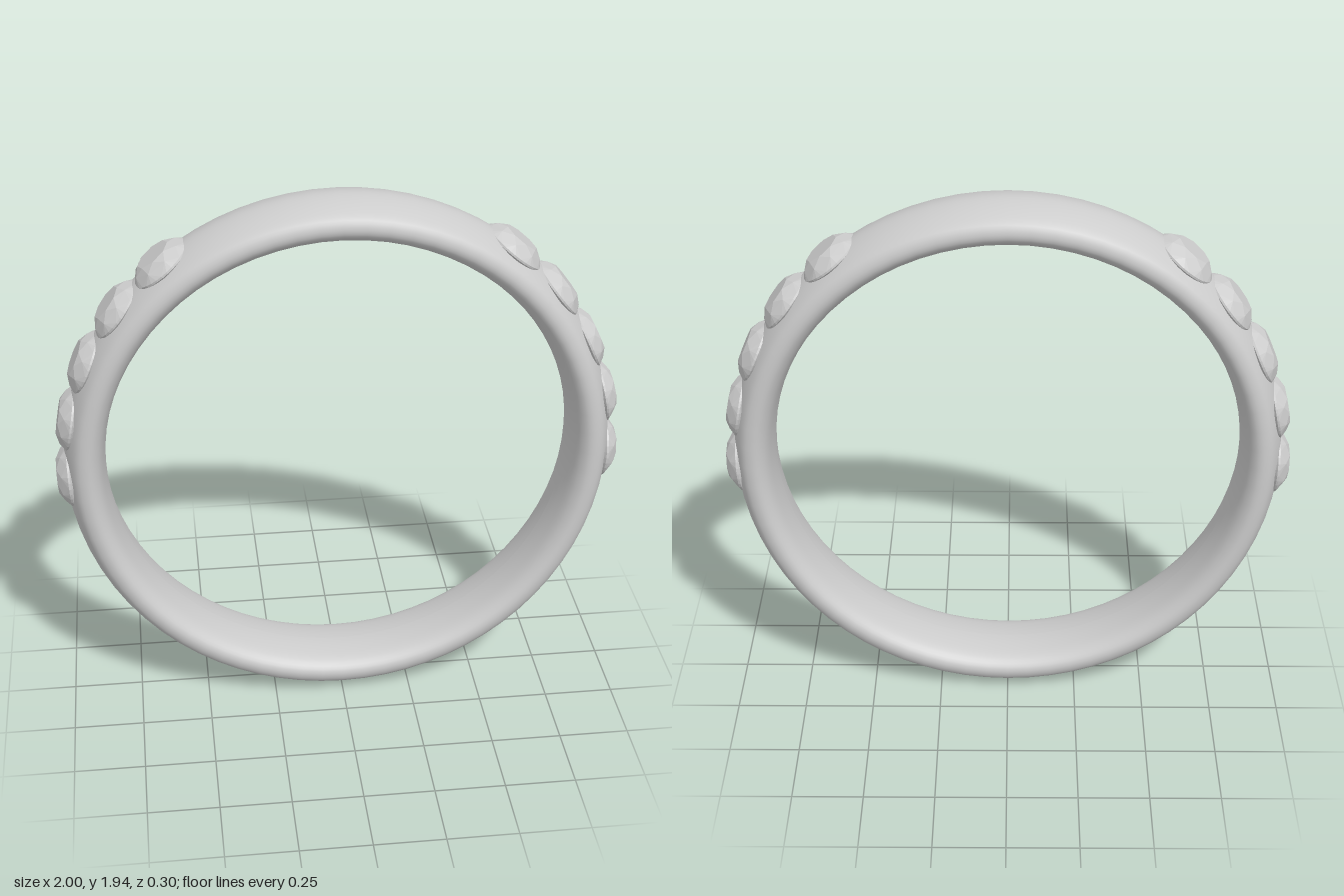
import * as THREE from 'three';
import { ConvexGeometry } from 'three/addons/geometries/ConvexGeometry.js';

const CENTRE_Y = 0.972;
const GIRDLE_R = 0.955; // distance of each stone's girdle from the ring axis

// Domed band: a closed rounded cross-section (radius, width) spun around the axis
function bandGeometry() {
  const half = [[0.827, 0], [0.832, 0.06], [0.846, 0.115], [0.87, 0.143], [0.895, 0.149],
    [0.925, 0.137], [0.948, 0.1], [0.965, 0.05], [0.972, 0]];
  const lower = half.map(([r, w]) => new THREE.Vector3(r, -w, 0));
  const upper = half.slice(1, -1).reverse().map(([r, w]) => new THREE.Vector3(r, w, 0));
  const curve = new THREE.CatmullRomCurve3([...lower, ...upper], true, 'centripetal');
  const profile = curve.getPoints(48).map((p) => new THREE.Vector2(p.x, p.y));
  return new THREE.LatheGeometry(profile, 72).rotateX(Math.PI / 2);
}

// Round brilliant-cut stone, table facing +y, girdle at y = 0
function stoneGeometry() {
  const points = [new THREE.Vector3(0, -0.09, 0)];
  const ring = (radius, y, count, offset = 0) => {
    for (let i = 0; i < count; i++) {
      const a = ((i + offset) / count) * Math.PI * 2;
      points.push(new THREE.Vector3(Math.cos(a) * radius, y, Math.sin(a) * radius));
    }
  };
  ring(0.066, 0.044, 8);        // table
  ring(0.094, 0.027, 8, 0.5);   // crown
  ring(0.115, 0.003, 32);       // girdle, top and bottom
  ring(0.115, -0.004, 32);
  return new ConvexGeometry(points);
}

export function createModel() {
  const model = new THREE.Group();
  model.name = 'ring';
  const bandMaterial = new THREE.MeshStandardMaterial({ color: 0xcccccc });
  const stoneMaterial = new THREE.MeshStandardMaterial({ color: 0xcccccc, flatShading: true });

  const band = new THREE.Mesh(bandGeometry(), bandMaterial);
  band.name = 'band';
  band.position.y = CENTRE_Y;
  model.add(band);

  // Five stones up each shoulder of the band
  const geometry = stoneGeometry();
  for (const side of [1, -1]) {
    const row = new THREE.Group();
    row.name = side > 0 ? 'leftStones' : 'rightStones';
    for (let i = 0; i < 5; i++) {
      const angle = THREE.MathUtils.degToRad(-2.6 + i * 13.45);
      const stone = new THREE.Mesh(geometry, stoneMaterial);
      stone.name = `stone${i + 1}`;
      stone.position.set(side * Math.cos(angle) * GIRDLE_R, CENTRE_Y + Math.sin(angle) * GIRDLE_R, 0);
      stone.rotation.z = side * (angle - Math.PI / 2);
      row.add(stone);
    }
    model.add(row);
  }
  return model;
}
